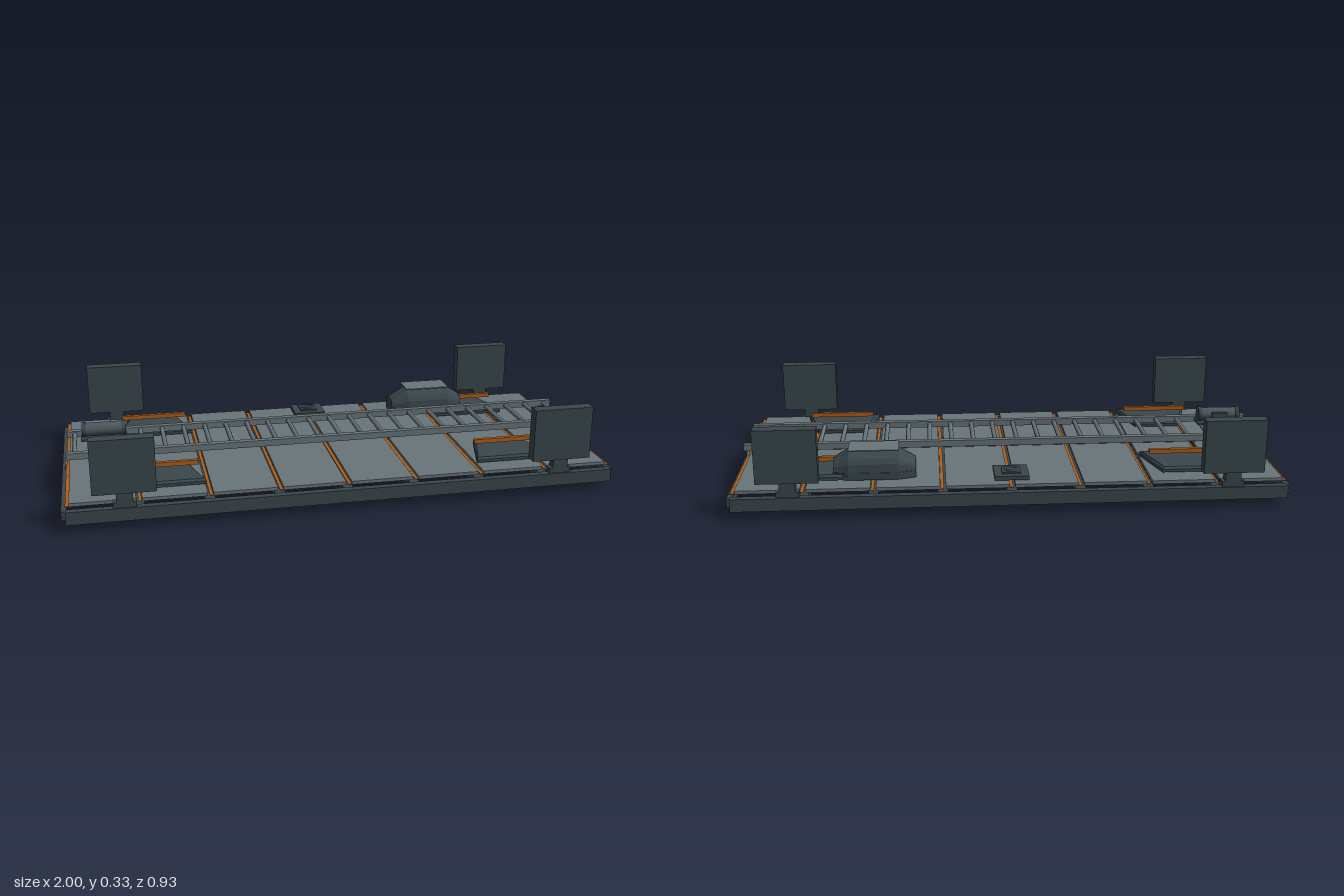
import * as THREE from 'three';

const mat = (name, color) => {
  const m = new THREE.MeshStandardMaterial({ color, side: THREE.DoubleSide, flatShading: false });
  m.name = name;
  return m;
};

export function createModel() {
  const root = new THREE.Group();
  root.name = 'platform';
  const dark = mat('darkSlate', 0x3a474c);
  const grey = mat('deckGrey', 0x69757a);
  const steel = mat('motorSteel', 0x4c595e);
  const orange = mat('rustOrange', 0xad5f1c);

  const add = (name, geo, m, x = 0, y = 0, z = 0, parent = root) => {
    const mesh = new THREE.Mesh(geo, m);
    mesh.name = name;
    mesh.position.set(x, y, z);
    parent.add(mesh);
    return mesh;
  };
  // box given by its min and max on each axis
  const box = (name, m, x0, x1, y0, y1, z0, z1, parent) =>
    add(name, new THREE.BoxGeometry(x1 - x0, y1 - y0, z1 - z0), m,
      (x0 + x1) / 2, (y0 + y1) / 2, (z0 + z1) / 2, parent);
  const rod = (name, m, r, len, axis, x, y, z, sides = 16) => {
    const g = new THREE.CylinderGeometry(r, r, len, sides);
    if (axis === 'x') g.rotateZ(Math.PI / 2);
    if (axis === 'z') g.rotateX(Math.PI / 2);
    return add(name, g, m, x, y, z);
  };
  // closed solid through rings of equal point count
  const loft = (rings) => {
    const n = rings[0].length, pos = [];
    const tri = (a, b, c) => pos.push(...a, ...b, ...c);
    for (let k = 0; k < rings.length - 1; k++)
      for (let i = 0; i < n; i++) {
        const j = (i + 1) % n, A = rings[k], B = rings[k + 1];
        tri(A[i], A[j], B[j]);
        tri(A[i], B[j], B[i]);
      }
    const last = rings[rings.length - 1];
    for (let i = 1; i < n - 1; i++) {
      tri(rings[0][0], rings[0][i + 1], rings[0][i]);
      tri(last[0], last[i], last[i + 1]);
    }
    const g = new THREE.BufferGeometry();
    g.setAttribute('position', new THREE.Float32BufferAttribute(pos, 3));
    g.computeVertexNormals();
    return g;
  };

  // frame: long rails, end rails and hanging rings
  for (const s of [-1, 1]) {
    add('sideRail', new THREE.BoxGeometry(1.97, 0.047, 0.027), dark, 0, 0.0565, s * 0.4525);
    add('sideRailLip', new THREE.BoxGeometry(1.96, 0.012, 0.02), dark, 0, 0.04, s * 0.43);
    add('endRail', new THREE.BoxGeometry(0.02, 0.033, 0.88), dark, s * 0.99, 0.0565, 0);
    const ring = new THREE.TorusGeometry(0.047, 0.005, 8, 40);
    ring.rotateY(Math.PI / 2);
    add('towRing', ring, grey, s * 0.985, 0.052, 0);
  }

  // cross joists with a coloured seam strip above each
  const pitch = 0.2455;
  for (let i = 0; i <= 8; i++) {
    const x = (i - 4) * pitch;
    if (i > 0 && i < 8) box('crossJoist', dark, x - 0.018, x + 0.018, 0.042, 0.072, -0.44, 0.44);
    const shift = i === 8 ? -0.001 : 0.003;
    box('seamStrip', orange, x + shift - 0.006, x + shift + 0.006, 0.0865, 0.0895, -0.435, 0.435);
  }

  // deck panels in two rows
  for (let i = 0; i < 8; i++) {
    const x = (i - 3.5) * pitch;
    for (const s of [-1, 1])
      add('deckPanel', new THREE.BoxGeometry(pitch - 0.02, 0.012, 0.427), grey, x, 0.093, s * 0.2205);
  }

  // ladder lying along the deck
  for (const s of [-1, 1]) box('ladderRail', grey, -0.98, 0.98, 0.143, 0.167, s * 0.122 - 0.012, s * 0.122 + 0.012);
  for (let i = 0; i < 24; i++) rod('ladderRung', grey, 0.009, 0.23, 'z', -0.95 + i * 0.0826, 0.155, 0, 10);

  // corner boards on posts
  for (const sx of [-1, 1])
    for (const sz of [-1, 1]) {
      const g = new THREE.Group();
      g.name = 'cornerBoard';
      g.position.set(sx * 0.785, 0, sz * 0.443);
      box('board', dark, -0.109, 0.109, 0.133, 0.327, -0.023, 0.023, g);
      box('post', dark, -0.028, 0.028, 0.075, 0.135, -0.018, 0.018, g);
      box('postFoot', dark, -0.04, 0.04, 0.075, 0.1, -0.018, 0.018, g);
      root.add(g);
    }

  // tapered pads, each with a bar floating above
  const padRing = (y, inset) => [
    [-0.145 + inset, y, 0.097 - inset], [0.145 - inset, y, 0.097 - inset],
    [0.093 - inset, y, -0.097 + inset], [-0.093 + inset, y, -0.097 + inset]];
  for (const sx of [-1, 1])
    for (const sz of [-1, 1]) {
      add('taperedPad', loft([padRing(0.106, 0), padRing(0.117, 0), padRing(0.125, 0.008)]), dark,
        sx * 0.642, 0, sz * 0.271);
      box('padBar', orange, sx * 0.642 - 0.125, sx * 0.642 + 0.125, 0.147, 0.163,
        sz * 0.271 - 0.008, sz * 0.271 + 0.008);
    }

  // domed housing with a thin cover plate
  const domeRing = (x, w, h) => {
    const pts = [[x, 0.104, -w], [x, 0.13, -w]];
    for (let i = 0; i <= 10; i++) {
      const a = Math.PI * i / 10;
      pts.push([x, 0.13 + (h - 0.026) * Math.pow(Math.sin(a), 0.75), -w * 0.97 * Math.cos(a)]);
    }
    pts.push([x, 0.13, w], [x, 0.104, w]);
    return pts.reverse();
  };
  add('domedHousing', loft([domeRing(0.34, 0.052, 0.058), domeRing(0.405, 0.072, 0.097),
    domeRing(0.58, 0.072, 0.097), domeRing(0.635, 0.055, 0.062)].reverse()), dark, 0, 0, -0.297);
  box('housingCover', grey, 0.4, 0.58, 0.205, 0.209, -0.35, -0.245);

  // small hatch
  box('hatchBase', dark, -0.062, 0.062, 0.105, 0.12, -0.408, -0.288);
  box('hatchTop', dark, -0.034, 0.034, 0.12, 0.126, -0.382, -0.314);
  const hatchRing = new THREE.TorusGeometry(0.022, 0.004, 8, 24);
  hatchRing.rotateX(Math.PI / 2);
  add('hatchRing', hatchRing, steel, 0, 0.127, -0.348);

  // motor above the ladder
  box('motorPlate', dark, -0.925, -0.755, 0.175, 0.183, -0.037, 0.037);
  rod('motorBody', steel, 0.025, 0.15, 'x', -0.84, 0.21, 0, 24);
  for (const s of [-1, 1]) rod('motorCap', dark, 0.028, 0.014, 'x', -0.84 + s * 0.073, 0.21, 0, 24);
  box('motorBox', dark, -0.87, -0.81, 0.195, 0.222, -0.034, -0.018);
  return root;
}
